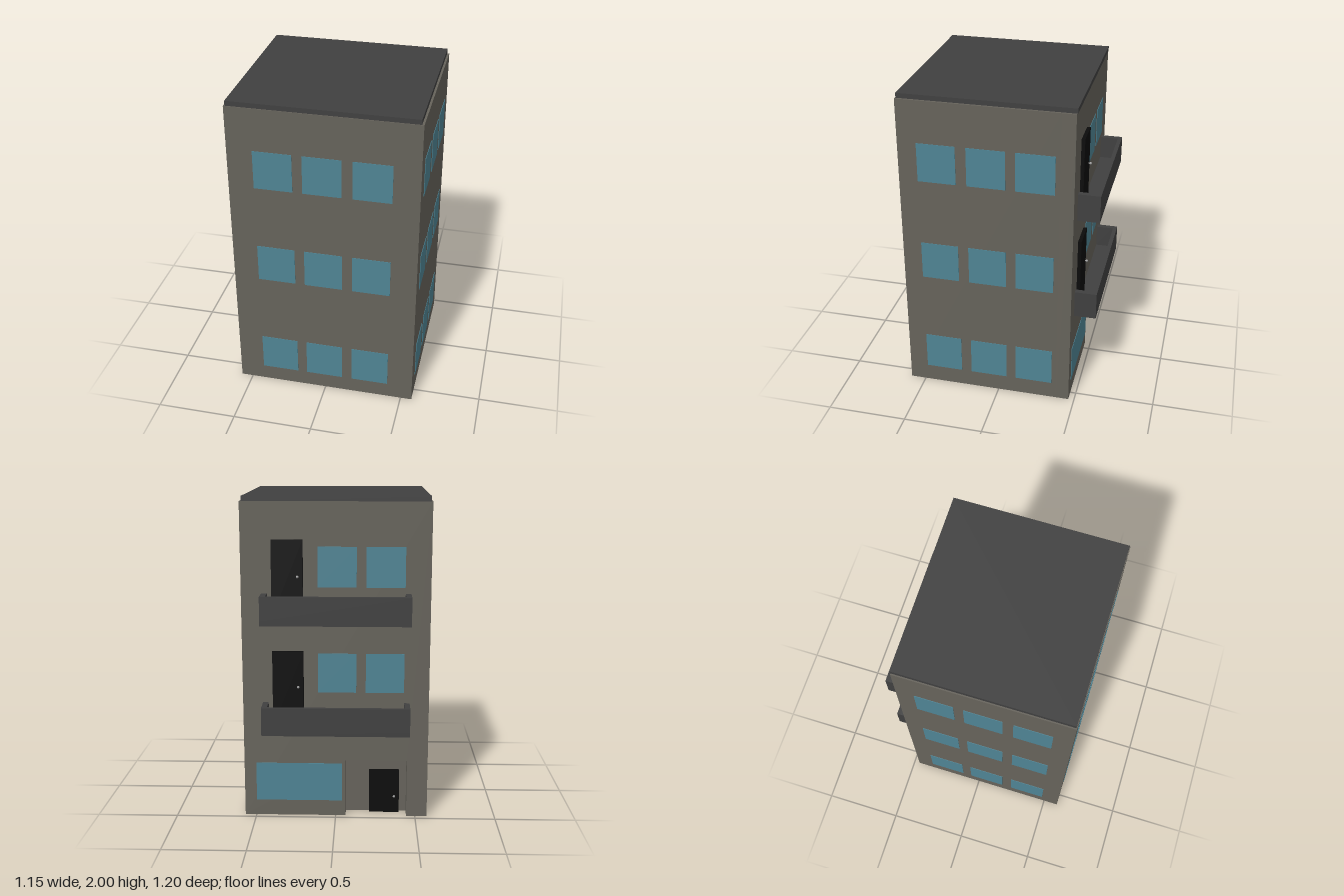
import * as THREE from 'three';

export function createModel() {
  const group = new THREE.Group();
  group.name = 'apartmentBuilding';
  const mat = (color) => new THREE.MeshStandardMaterial({ color });
  const wallMat = mat(0x66635b), glassMat = mat(0x4f8494), darkMat = mat(0x404040);
  const doorMat = mat(0x0b0b0b), knobMat = mat(0x999999);

  // Box given by its limits on each axis
  function box(name, material, x0, x1, y0, y1, z0, z1, parent = group) {
    const m = new THREE.Mesh(new THREE.BoxGeometry(x1 - x0, y1 - y0, z1 - z0), material);
    m.position.set((x0 + x1) / 2, (y0 + y1) / 2, (z0 + z1) / 2);
    m.name = name;
    parent.add(m);
    return m;
  }

  const L = -0.574, R = 0.571, B = -0.463, F = 0.597, H = 1.97, T = 0.003;
  const recess = { x0: -0.445, x1: -0.063, top: 0.365, z: -0.38 };

  // Main block, and a rear wall layer with the entrance notch cut out
  box('mainBlock', wallMat, L, R, 0, H, recess.z, F);
  const outline = new THREE.Shape([
    [L, 0], [recess.x0, 0], [recess.x0, recess.top], [recess.x1, recess.top],
    [recess.x1, 0], [R, 0], [R, H], [L, H],
  ].map(([x, y]) => new THREE.Vector2(x, y)));
  const rear = new THREE.Mesh(
    new THREE.ExtrudeGeometry(outline, { depth: recess.z - B, bevelEnabled: false }), wallMat);
  rear.position.z = B;
  rear.name = 'rearWall';
  group.add(rear);

  // Flat roof slab
  box('roof', darkMat, -0.566, 0.558, H, 2, -0.467, 0.592);

  // Window rows on the front and both sides
  const frontRows = [0.103, 0.805, 1.457], sideRows = [0.112, 0.796, 1.46];
  const size = 0.235, tall = 0.245;
  for (const x of [-0.418, -0.123, 0.175])
    for (const y of frontRows) box('frontWindow', glassMat, x, x + size, y, y + tall, F - 0.01, F + T);
  for (const z of [-0.35, -0.055, 0.245])
    for (const y of sideRows) {
      box('leftWindow', glassMat, R - 0.01, R + T, y, y + tall, z, z + size);
      box('rightWindow', glassMat, L - T, L + 0.01, y, y + tall, z, z + size);
    }

  // Rear windows: a pair on each upper floor, one wide pane below
  for (const x of [-0.42, -0.127])
    for (const y of frontRows.slice(1)) box('rearWindow', glassMat, x, x + size, y, y + tall, B - T, B + 0.01);
  box('wideRearWindow', glassMat, -0.04, 0.497, 0.1, 0.345, B - T, B + 0.01);

  // Door with a round knob on a short stem
  function door(x0, x1, y0, y1, z, knobY) {
    const g = new THREE.Group();
    g.name = 'door';
    box('doorPanel', doorMat, x0, x1, y0, y1, z - 0.022, z, g);
    const stem = new THREE.Mesh(new THREE.CylinderGeometry(0.004, 0.004, 0.012, 10), knobMat);
    stem.rotation.x = Math.PI / 2;
    stem.position.set(x0 + 0.032, knobY, z - 0.026);
    stem.name = 'knobStem';
    const knob = new THREE.Mesh(new THREE.SphereGeometry(0.008, 14, 10), knobMat);
    knob.position.set(x0 + 0.032, knobY, z - 0.034);
    knob.name = 'doorKnob';
    g.add(stem, knob);
    group.add(g);
  }
  door(-0.4, -0.21, 0, 0.28, recess.z, 0.11);

  // Balconies: floor, front parapet and two end parapets, each with its door
  for (const y of [0.565, 1.245]) {
    const g = new THREE.Group();
    g.name = 'balcony';
    const x0 = -0.455, x1 = 0.447, z0 = -0.6, top = y + 0.175;
    box('balconyFloor', darkMat, x0, x1, y, y + 0.03, z0, B, g);
    box('frontParapet', darkMat, x0, x1, y + 0.03, top, z0, z0 + 0.025, g);
    box('endParapet', darkMat, x0, x0 + 0.034, y + 0.03, top, z0 + 0.025, B, g);
    box('endParapet', darkMat, x1 - 0.034, x1, y + 0.03, top, z0 + 0.025, B, g);
    group.add(g);
    door(0.195, 0.385, y + 0.03, y + 0.5, B, y + 0.28);
  }
  return group;
}
